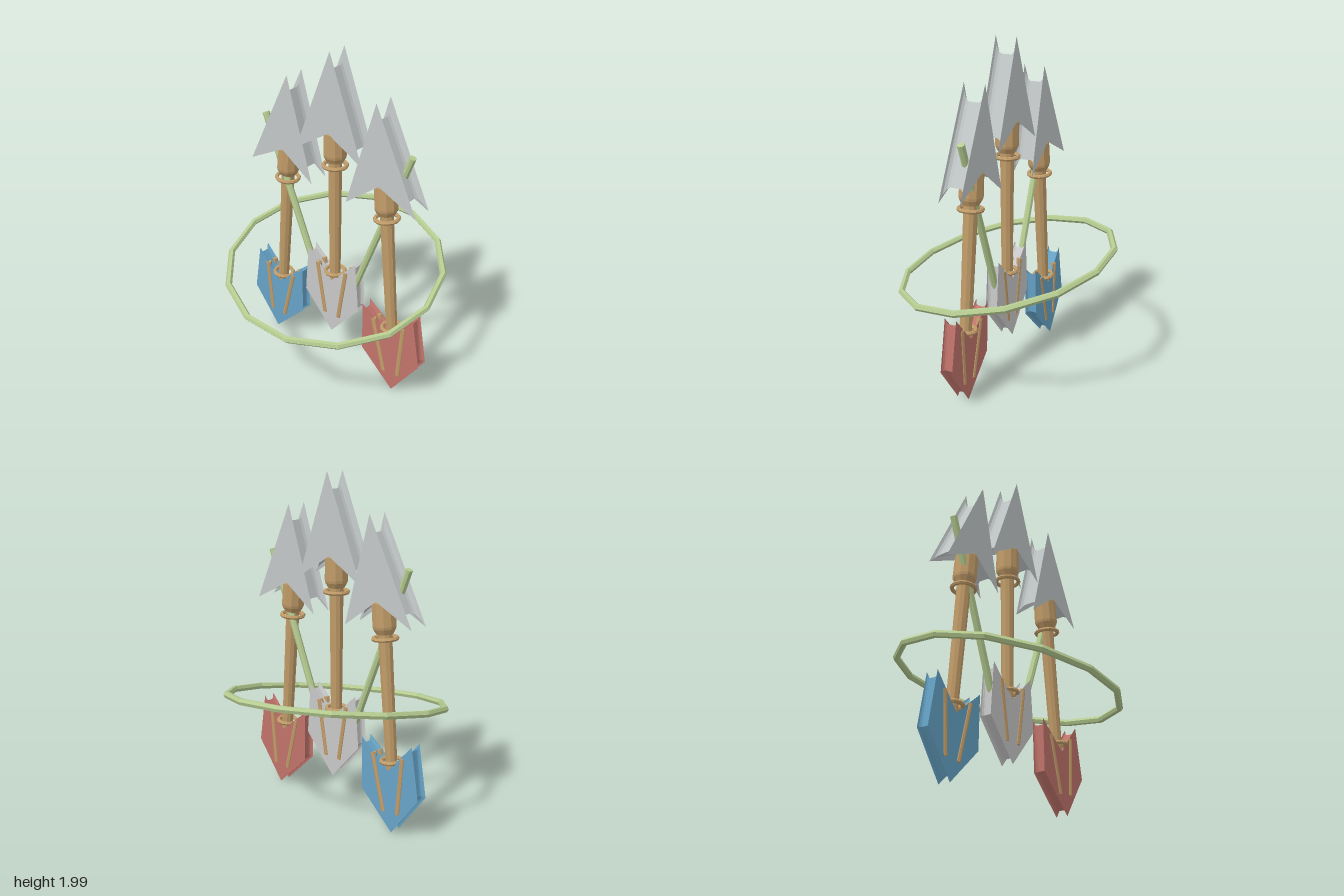
import * as THREE from 'three';

const mat = (name, color, flatShading = true) => {
  const m = new THREE.MeshStandardMaterial({ color, flatShading });
  m.name = name;
  return m;
};

export function createModel() {
  const wood = mat('wood', 0xc19c69);
  const steel = mat('steel grey', 0xc2c7c8);
  const pale = mat('pale feather', 0xc8c8c8);
  const blue = mat('blue feather', 0x66a3c6);
  const red = mat('red feather', 0xc0736b);
  const green = mat('vine green', 0xb6cc91);

  const add = (parent, name, geometry, material) => {
    const m = new THREE.Mesh(geometry, material);
    m.name = name;
    parent.add(m);
    return m;
  };

  // Straight round rod between two points
  const rod = (parent, name, a, b, ra, rb, sides, material) => {
    const p = new THREE.Vector3(...a), q = new THREE.Vector3(...b);
    const d = q.clone().sub(p);
    const m = add(parent, name, new THREE.CylinderGeometry(rb, ra, d.length(), sides), material);
    m.position.copy(p).add(q).multiplyScalar(0.5);
    m.quaternion.setFromUnitVectors(new THREE.Vector3(0, 1, 0), d.normalize());
    return m;
  };

  // Plate whose rim is hollowed into a groove between two thin flanges
  const groovedPlate = (points, halfCore, flange, groove) => {
    const shape = new THREE.Shape(points.map(([x, y]) => new THREE.Vector2(x, y)));
    const g = new THREE.ExtrudeGeometry(shape, {
      depth: halfCore * 2, bevelEnabled: true, bevelThickness: flange,
      bevelSize: -groove, bevelSegments: 3, steps: 1,
    });
    return g.translate(0, 0, -halfCore);
  };

  const headOutline = [[0, 1.53], [0.23, 1.39], [0.012, 1.995], [-0.23, 1.39]];
  const featherOutline = [[0, 0.2], [0.2, 0.43], [0.175, 0.74], [0, 0.57], [-0.175, 0.74], [-0.2, 0.43]];
  const socketProfile = [[0, 1.345], [0.048, 1.345], [0.065, 1.375], [0.068, 1.39], [0.066, 1.52], [0.05, 1.55], [0, 1.55]]
    .map(([x, y]) => new THREE.Vector2(x, y));

  const arrow = (name, feather) => {
    const g = new THREE.Group();
    g.name = name;
    rod(g, 'shaft', [0, 0.335, 0], [0, 1.4, 0], 0.031, 0.041, 10, wood);
    add(g, 'socket', new THREE.LatheGeometry(socketProfile, 10), wood);
    add(g, 'arrowhead', groovedPlate(headOutline, 0.03, 0.033, 0.07), steel);
    add(g, 'fletching', groovedPlate(featherOutline, 0.017, 0.019, 0.025), feather);
    // Binding rings above and below
    for (const [y, r] of [[1.32, 0.066], [0.62, 0.058]]) {
      const ring = add(g, 'bindingRing', new THREE.TorusGeometry(r, 0.012, 6, 14), wood);
      ring.rotation.x = Math.PI / 2;
      ring.position.y = y;
    }
    // Feather quills on both faces
    for (const s of [-1, 1]) for (const z of [-0.028, 0.028])
      rod(g, 'quill', [s * 0.05, 0.32, z], [s * 0.105, 0.66, z], 0.017, 0.017, 8, wood);
    return g;
  };

  const model = new THREE.Group();
  model.name = 'arrowBundle';

  // Upright middle arrow and two leaning outer arrows
  model.add(arrow('middleArrow', pale));
  for (const [s, name, feather] of [[-1, 'rightArrow', blue], [1, 'leftArrow', red]]) {
    const a = arrow(name, feather);
    a.rotation.set(-s * 0.009, 0, s * 0.09);
    a.position.set(s * 0.496, -0.195, s * 0.037);
    model.add(a);
  }

  // Crossing stems behind the arrows
  for (const s of [-1, 1])
    rod(model, 'stem', [s * 0.06, 0.34, 0], [s * 0.51, 1.51, 0], 0.021, 0.021, 8, green);

  // Tilted hoop
  const hoopGeo = new THREE.TorusGeometry(0.642, 0.02, 6, 14).rotateX(Math.PI / 2);
  const hoop = add(model, 'hoop', hoopGeo, green);
  hoop.position.y = 0.677;
  hoop.rotation.set(0.2, 0, -0.095);

  return model;
}
